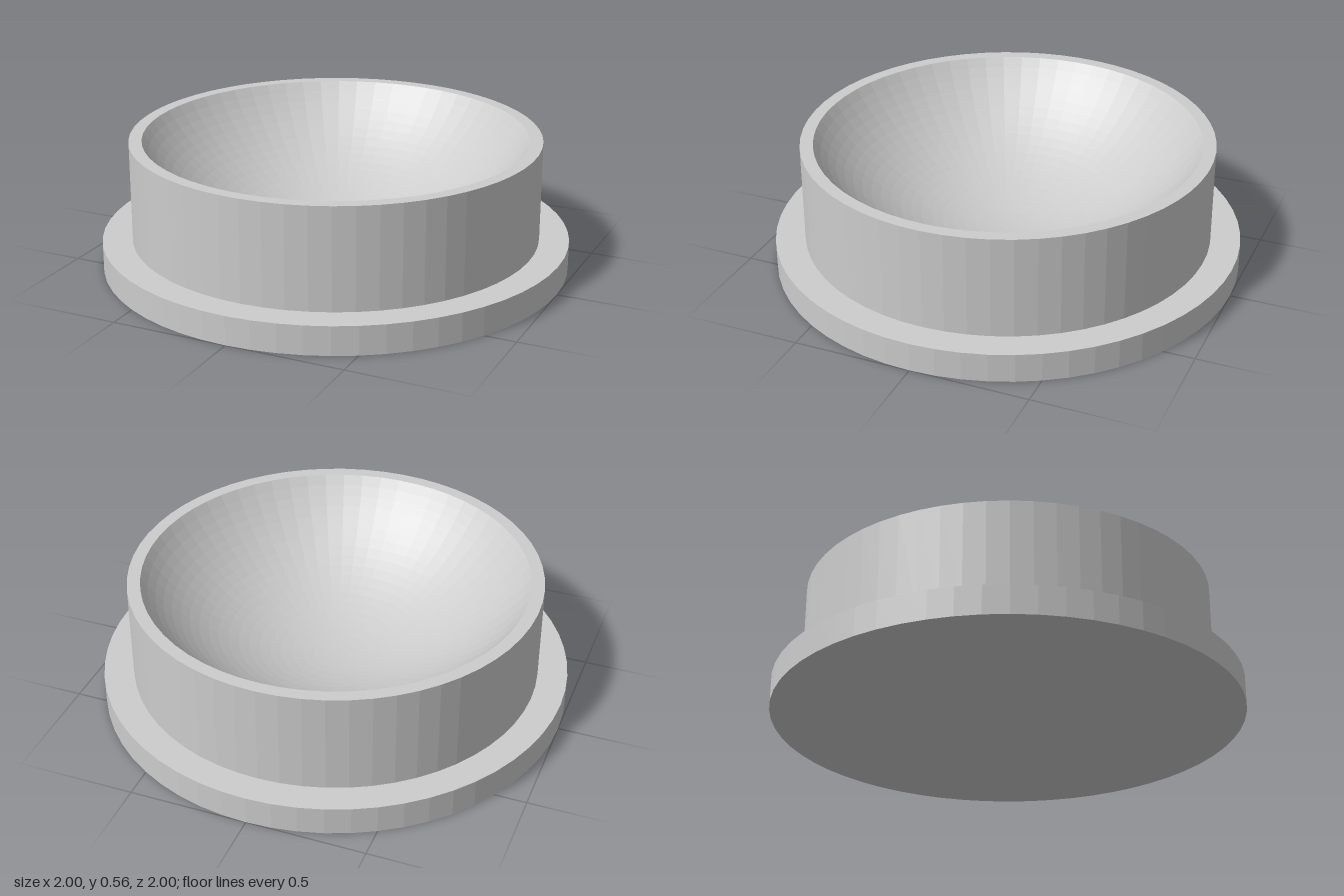
import * as THREE from 'three';

const SIDES = 60;

export function createModel() {
  const group = new THREE.Group();
  group.name = 'flangedBowl';
  const grey = new THREE.MeshStandardMaterial({ color: 0xcccccc, flatShading: true });
  grey.name = 'plain grey';

  const flangeRadius = 1, flangeTop = 0.123;
  const bodyRadius = 0.873, bodyTop = 0.555;
  const bowlRadius = 0.818, bowlDepth = 0.43;

  // Turn a profile of [radius, height] pairs, listed from bottom to top
  function turn(name, profile) {
    const points = profile.map(([r, y]) => new THREE.Vector2(r, y));
    const mesh = new THREE.Mesh(new THREE.LatheGeometry(points, SIDES), grey);
    mesh.name = name;
    group.add(mesh);
  }

  // Base flange with closed underside
  turn('baseFlange', [[0, 0], [flangeRadius, 0], [flangeRadius, flangeTop], [bodyRadius, flangeTop]]);

  // Upright wall and its flat rim
  turn('wall', [[bodyRadius, flangeTop], [bodyRadius, bodyTop], [bowlRadius, bodyTop]]);

  // Hollow: a spherical cap sunk from the rim
  const R = (bowlRadius ** 2 + bowlDepth ** 2) / (2 * bowlDepth);
  const rimAngle = Math.asin(bowlRadius / R);
  const centreY = bodyTop - bowlDepth + R;
  const rings = 20;
  const cap = [];
  for (let i = rings; i >= 0; i--) {
    const a = rimAngle * i / rings;
    cap.push([R * Math.sin(a), centreY - R * Math.cos(a)]);
  }
  turn('bowlHollow', cap);

  return group;
}
